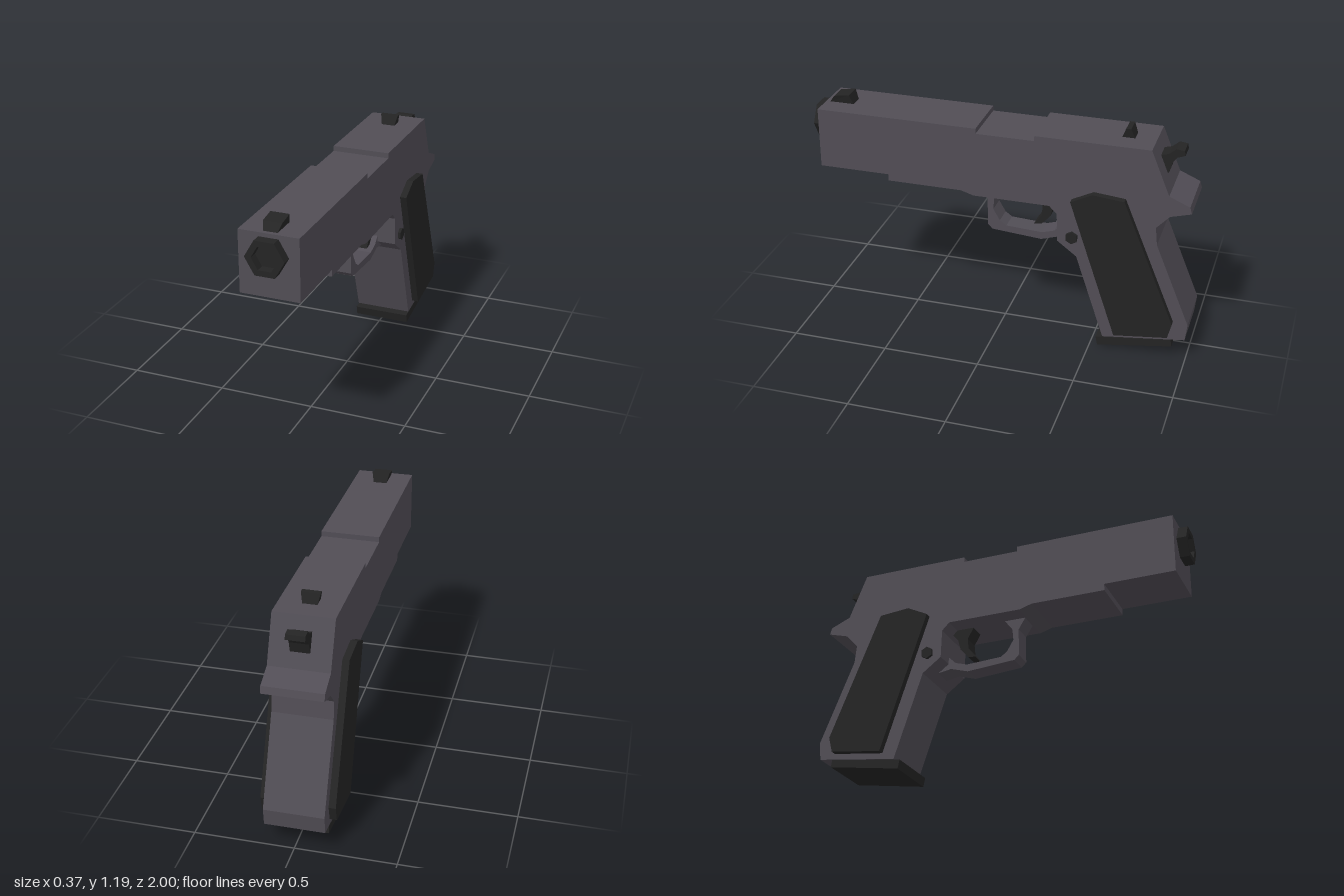
import * as THREE from 'three';

const gunmetal = new THREE.MeshStandardMaterial({ name: 'gunmetal', color: 0x514d55 });
const black = new THREE.MeshStandardMaterial({ name: 'black', color: 0x242424 });

const toShape = (pts) => new THREE.Shape(pts.map(([z, y]) => new THREE.Vector2(z, y)));

// Side profile in (z, y), extruded across x from x0 to x1
function profile(pts, x0, x1) {
  const g = new THREE.ExtrudeGeometry(toShape(pts), { depth: x1 - x0, bevelEnabled: false });
  g.rotateY(-Math.PI / 2);
  g.translate(x1, 0, 0);
  return g;
}

export function createModel() {
  const model = new THREE.Group();
  model.name = 'pistol';
  const add = (name, geometry, material) => {
    const mesh = new THREE.Mesh(geometry, material);
    mesh.name = name;
    model.add(mesh);
    return mesh;
  };

  // Slide, frame and grip core share one continuous outline
  add('body', profile([
    [0.95, 1.14], [0.11, 1.14], [0.11, 1.113], [-0.19, 1.113], [-0.19, 1.14], [-0.77, 1.14],
    [-0.865, 0.91], [-0.97, 0.865], [-0.98, 0.83], [-0.875, 0.8], [-0.81, 0.73], [-0.82, 0.635],
    [-1, 0.2], [-0.99, 0.11], [-0.565, 0.055], [-0.415, 0.505], [-0.315, 0.58], [-0.31, 0.73],
    [-0.27, 0.77], [0.125, 0.77], [0.19, 0.79], [0.58, 0.79], [0.58, 0.825], [0.95, 0.825],
  ], -0.15, 0.15), gunmetal);

  // Narrow open loop below the frame
  add('triggerGuard', profile([
    [0.12, 0.775], [0.08, 0.71], [0.08, 0.565], [0.055, 0.54], [-0.205, 0.52], [-0.3, 0.55],
    [-0.385, 0.535], [-0.34, 0.6], [-0.31, 0.615], [-0.275, 0.58], [-0.21, 0.56], [-0.02, 0.57],
    [0.015, 0.595], [0.05, 0.655], [0.045, 0.715], [0, 0.775],
  ], -0.052, 0.052), gunmetal);

  add('trigger', profile([
    [-0.175, 0.775], [-0.21, 0.71], [-0.205, 0.655], [-0.165, 0.6], [-0.205, 0.605],
    [-0.25, 0.655], [-0.265, 0.71], [-0.295, 0.745], [-0.28, 0.775],
  ], -0.045, 0.045), black);

  add('hammer', profile([
    [-0.78, 1.07], [-0.835, 1.085], [-0.87, 1.115], [-0.91, 1.11], [-0.915, 1.085],
    [-0.875, 1.07], [-0.855, 1.04], [-0.84, 0.985], [-0.78, 0.99],
  ], -0.047, 0.047), black);

  add('magazineBase', profile(
    [[-0.53, 0.047], [-0.92, 0.098], [-0.925, 0.06], [-0.54, 0]], -0.15, 0.15), black);

  // Grip panels and frame pins on both sides
  const panel = [[-0.385, 0.825], [-0.495, 0.88], [-0.655, 0.865], [-0.925, 0.21], [-0.905, 0.13], [-0.63, 0.095]];
  const pin = Array.from({ length: 6 }, (_, i) => {
    const a = (i + 0.5) * Math.PI / 3;
    return [-0.39 + 0.033 * Math.cos(a), 0.612 + 0.033 * Math.sin(a)];
  });
  for (const [side, s] of [['left', 1], ['right', -1]]) {
    const span = (w) => (s > 0 ? [0.145, w] : [-w, -0.145]);
    add(side + 'GripPanel', profile(panel, ...span(0.185)), black);
    add(side + 'Pin', profile(pin, ...span(0.165)), black);
  }

  // Sights flare slightly towards the top
  const sight = (name, pts) => {
    const g = profile(pts, -0.047, 0.047);
    const p = g.attributes.position;
    for (let i = 0; i < p.count; i++) {
      if (p.getY(i) < 1.15) p.setX(i, p.getX(i) * 0.75);
    }
    g.computeVertexNormals();
    add(name, g, black);
  };
  sight('frontSight', [[0.93, 1.138], [0.9, 1.178], [0.82, 1.19], [0.8, 1.138]]);
  sight('rearSight', [[-0.6, 1.138], [-0.62, 1.19], [-0.645, 1.19], [-0.665, 1.138]]);

  // Six-sided muzzle with a recessed bore
  const hex = (r) => Array.from({ length: 6 }, (_, i) =>
    new THREE.Vector2(r * Math.cos(i * Math.PI / 3), r * Math.sin(i * Math.PI / 3)));
  const ring = new THREE.Shape(hex(0.098));
  ring.holes.push(new THREE.Path(hex(0.065)));
  const muzzle = add('muzzle', new THREE.ExtrudeGeometry(ring, { depth: 0.055, bevelEnabled: false }), black);
  muzzle.position.set(0, 1.035, 0.945);
  const bore = add('boreFloor', new THREE.ShapeGeometry(new THREE.Shape(hex(0.066))), black);
  bore.position.set(0, 1.035, 0.955);

  return model;
}
